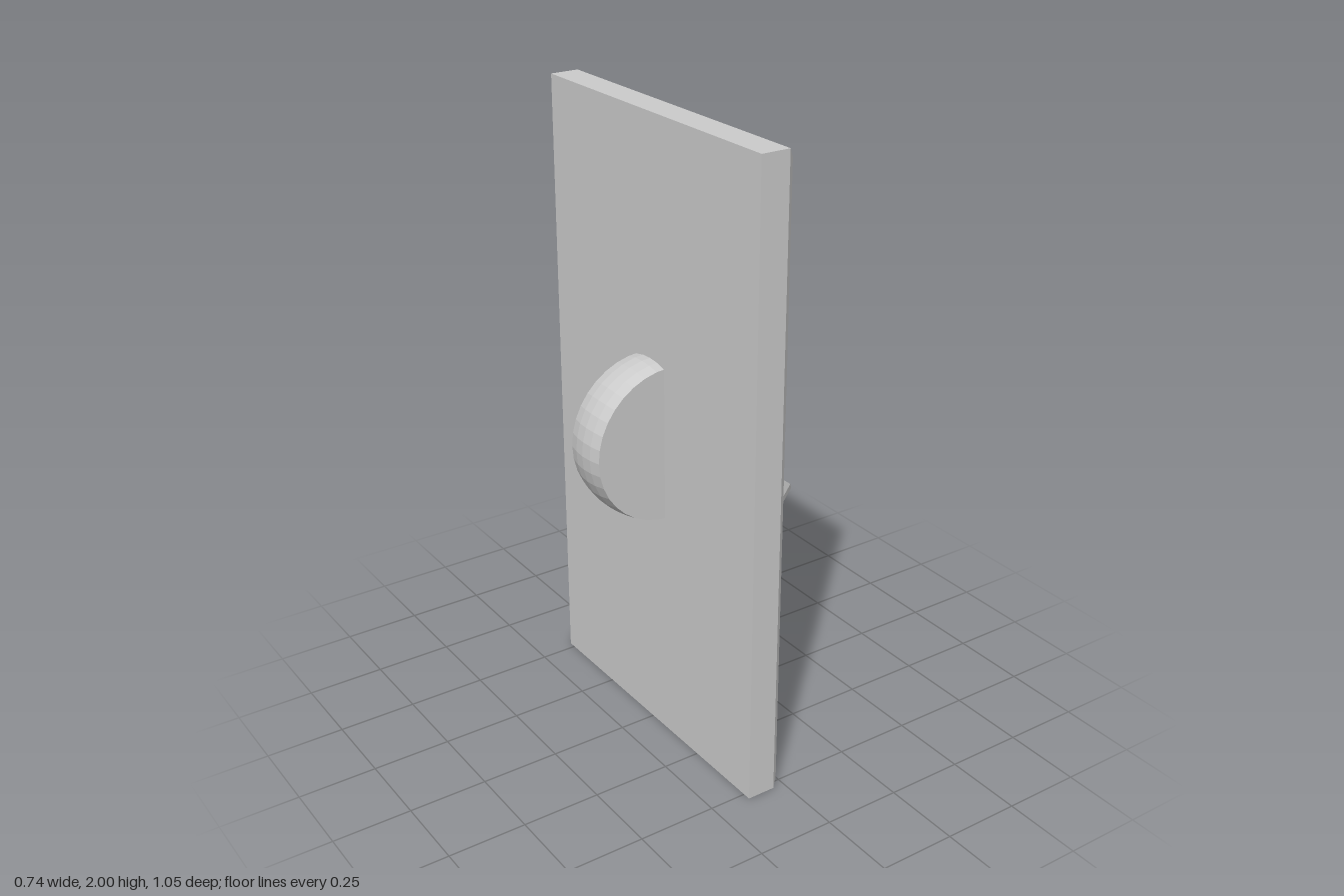
import * as THREE from 'three';
import { toCreasedNormals } from 'three/addons/utils/BufferGeometryUtils.js';

const material = (color, flatShading = false) => new THREE.MeshStandardMaterial({ color, flatShading });

// Box whose slices along x are moved to given levels: [x, half y, half z]
function slicedBox(levels) {
  const n = levels.length - 1;
  const geo = new THREE.BoxGeometry(1, 2, 2, n, 1, 1).toNonIndexed();
  const p = geo.attributes.position;
  for (let i = 0; i < p.count; i++) {
    const [x, hy, hz] = levels[Math.round((p.getX(i) + 0.5) * n)];
    p.setXYZ(i, x, Math.sign(p.getY(i)) * hy, Math.sign(p.getZ(i)) * hz);
  }
  geo.computeVertexNormals();
  return geo;
}

// Domed screw head facing +x, with a vertical slot
function slottedDome(radius, height, slotHalf, floor) {
  const cols = [];
  const start = Math.asin(slotHalf / radius);
  for (let i = 0; i <= 10; i++) {
    const a = start + (Math.PI / 2 - start) * (i / 10);
    cols.push([radius * Math.sin(a), false]);
  }
  const left = cols.map(([z]) => [-z, false]).reverse();
  const all = [...left, [-slotHalf, true], [slotHalf, true], ...cols];
  const rows = 24;
  const geo = new THREE.PlaneGeometry(1, 1, all.length - 1, rows);
  const p = geo.attributes.position;
  for (let i = 0; i < p.count; i++) {
    const [z, slot] = all[i % all.length];
    const t = 1 - 2 * Math.floor(i / all.length) / rows;
    const y = Math.sqrt(Math.max(0, radius * radius - z * z)) * Math.sin(t * Math.PI / 2);
    const h = height * Math.sqrt(Math.max(0, 1 - (y * y + z * z) / (radius * radius)));
    p.setXYZ(i, z, y, slot ? Math.min(h, floor) : h);
  }
  geo.rotateY(Math.PI / 2);
  return toCreasedNormals(geo, 0.6);
}

export function createModel() {
  const group = new THREE.Group();
  const grey = material(0xcccccc);
  const add = (name, geo, mat, x = 0, y = 0, z = 0) => {
    const mesh = new THREE.Mesh(geo, mat);
    mesh.name = name;
    mesh.position.set(x, y, z);
    group.add(mesh);
    return mesh;
  };

  // Wall plate with a rounded front edge
  add('wallPlate', slicedBox([
    [-0.13, 1, 0.525], [-0.038, 1, 0.525], [-0.02, 0.97, 0.512], [-0.007, 0.935, 0.492],
  ]), grey, 0, 1, 0);

  // Raised frame around the opening, and the dark opening itself
  const rect = (shape, w, h) => shape.moveTo(-w, -h).lineTo(w, -h).lineTo(w, h).lineTo(-w, h).closePath();
  const frameShape = rect(new THREE.Shape(), 0.136, 0.256);
  frameShape.holes.push(rect(new THREE.Path(), 0.12, 0.23));
  const frameGeo = new THREE.ExtrudeGeometry(frameShape, { depth: 0.04, bevelEnabled: false });
  frameGeo.rotateY(Math.PI / 2);
  add('openingFrame', frameGeo, grey, -0.015, 1.003, 0);
  add('darkOpening', new THREE.BoxGeometry(0.02, 0.47, 0.25), material(0x080808), -0.013, 1.003, 0);

  // Pivot: a sphere sliced flat on both sides
  const R = 0.257, half = 0.075;
  const profile = [new THREE.Vector2(0, -half)];
  for (let i = 0; i <= 4; i++) {
    const z = -half + (2 * half * i) / 4;
    profile.push(new THREE.Vector2(Math.sqrt(R * R - z * z), z));
  }
  profile.push(new THREE.Vector2(0, half));
  const pivotGeo = new THREE.LatheGeometry(profile, 36);
  pivotGeo.rotateX(Math.PI / 2);
  add('pivot', pivotGeo, material(0xcccccc, true), -0.113, 1.007, 0);

  // Lever pointing down, with a chamfered tip
  const lever = add('lever', slicedBox([
    [0.1, 0.069, 0.062], [0.545, 0.069, 0.062], [0.566, 0.058, 0.053],
  ]), grey, -0.121, 0.996, 0);
  lever.rotation.z = -0.63;

  // Screws above and below
  const screwGeo = slottedDome(0.081, 0.064, 0.012, 0.027);
  const dark = material(0x505050);
  add('upperScrew', screwGeo, dark, -0.009, 1.603, 0);
  add('lowerScrew', screwGeo, dark, -0.009, 0.403, 0);

  return group;
}
